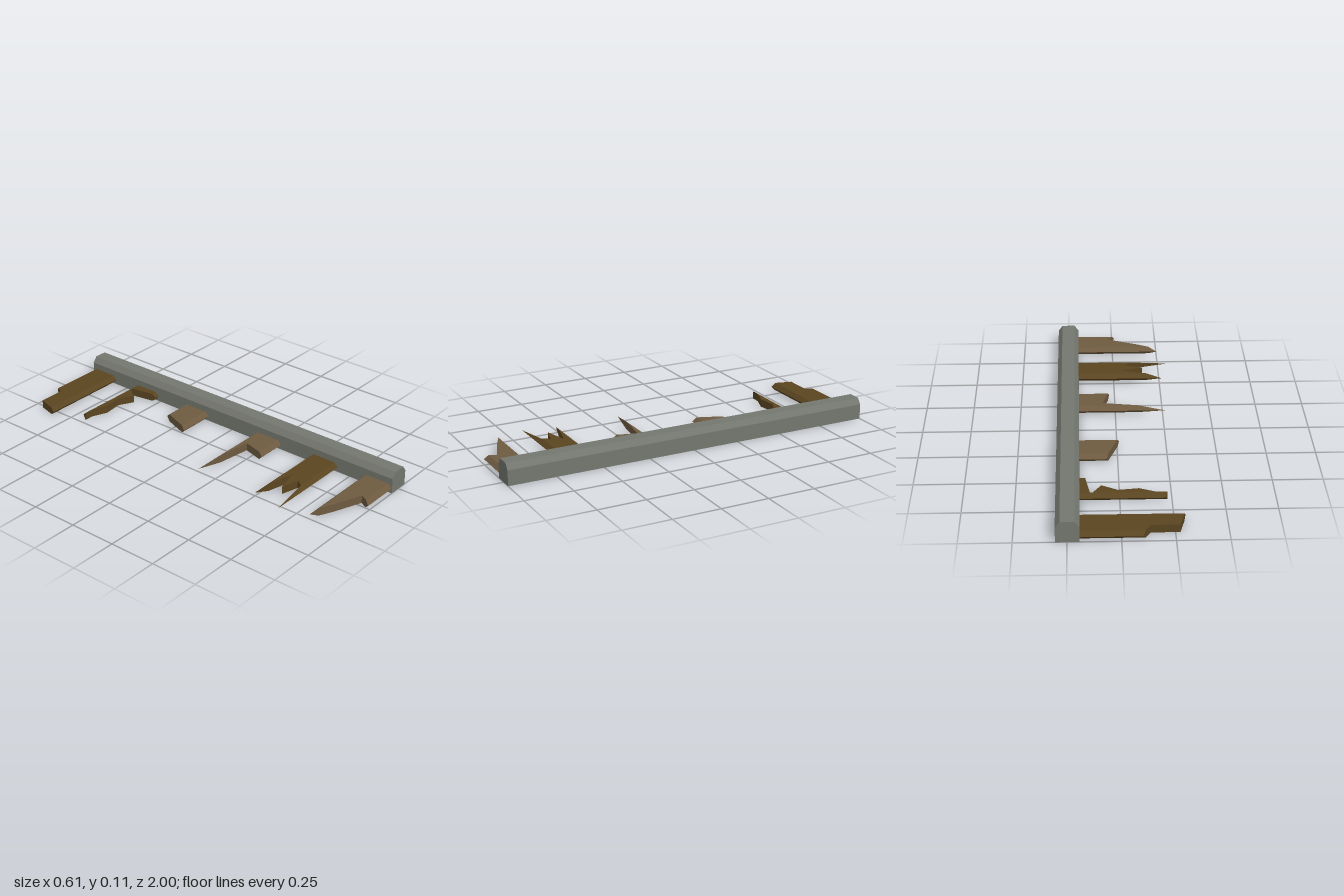
import * as THREE from 'three';

const HALF = 0.021;   // half the plank thickness, also the bevel width
const MID = 0.026;    // height of the plank's middle
const WIDTH = 0.172;  // plank width along z
const ROOT = 0.2;     // planks end just inside the beam

const mat = (color) => new THREE.MeshStandardMaterial({ color, flatShading: true, roughness: 0.9 });
const beamMat = mat(0x74776f);
const darkWood = mat(0x5a4520);
const paleWood = mat(0x6e5a40);

// Plank with bevelled long edges and a splintered end.
// end: [x, z] from the back edge (z = 0) to the front edge (z = WIDTH).
function plankGeometry(end) {
  const outline = [[ROOT, 0], ...end, [ROOT, WIDTH]];
  const edges = outline.map((p, i) => [p, outline[(i + 1) % outline.length]]);
  const half = (z) => Math.max(0, Math.min(HALF, z, WIDTH - z));
  const top = ([x, z]) => [x, MID + half(z), z];
  const low = ([x, z]) => [x, MID - half(z), z];
  const pos = [];
  const quad = (a, b, c, d) => pos.push(...a, ...b, ...c, ...a, ...c, ...d);

  // slice the outline at every corner and bevel line into trapezoids
  const levels = [...new Set([HALF, WIDTH - HALF, ...outline.map((p) => p[1])])].sort((a, b) => a - b);
  for (let i = 0; i + 1 < levels.length; i++) {
    const z0 = levels[i], z1 = levels[i + 1];
    const sides = [];
    for (const [p, q] of edges) {
      if (Math.min(p[1], q[1]) > z0 || Math.max(p[1], q[1]) < z1) continue;
      const at = (z) => [p[0] + (q[0] - p[0]) * (z - p[1]) / (q[1] - p[1]), z];
      sides.push([at(z0), at(z1)]);
    }
    sides.sort((s, t) => s[0][0] + s[1][0] - t[0][0] - t[1][0]);
    for (let k = 0; k + 1 < sides.length; k += 2) {
      const [a, d] = sides[k], [b, c] = sides[k + 1];
      quad(top(a), top(d), top(c), top(b));
      quad(low(a), low(b), low(c), low(d));
      quad(low(a), low(d), top(d), top(a));
      quad(top(b), top(c), low(c), low(b));
    }
  }
  // walls of cuts that run straight along the plank
  for (const [p, q] of edges) {
    if (p[1] === q[1] && half(p[1]) > 0) quad(low(p), low(q), top(q), top(p));
  }
  const geo = new THREE.BufferGeometry();
  geo.setAttribute('position', new THREE.Float32BufferAttribute(pos, 3));
  geo.computeVertexNormals();
  return geo;
}

export function createModel() {
  const group = new THREE.Group();

  // long beam with chamfered top edges
  const section = new THREE.Shape([
    [0.192, 0], [0.305, 0], [0.305, 0.08], [0.283, 0.11], [0.215, 0.11], [0.192, 0.08],
  ].map(([x, y]) => new THREE.Vector2(x, y)));
  const beamGeo = new THREE.ExtrudeGeometry(section, { depth: 2, bevelEnabled: false });
  beamGeo.translate(0, 0, -1);
  const beam = new THREE.Mesh(beamGeo, beamMat);
  beam.name = 'beam';
  group.add(beam);

  // broken planks: back edge z, wood, splintered end
  const planks = [
    [-1.0, darkWood, [[-0.098, 0], [-0.135, 0.06], [-0.272, 0.06], [-0.302, WIDTH]]],
    [-0.684, darkWood, [[-0.22, 0], [-0.227, 0.021], [-0.177, 0.021], [-0.093, 0.054], [0.008, 0.042],
      [0.087, 0.084], [0.13, 0.021], [0.142, 0.021], [0.167, WIDTH]]],
    [-0.33, paleWood, [[0.055, 0], [-0.01, WIDTH]]],
    [0.152, paleWood, [[-0.262, 0], [0.066, 0.048], [0.03, WIDTH]]],
    [0.507, darkWood, [[-0.262, 0], [-0.035, 0.057], [-0.16, 0.088], [-0.066, 0.114],
      [-0.093, 0.152], [-0.302, WIDTH]]],
    [0.826, paleWood, [[-0.25, 0], [-0.13, 0.056], [0.019, 0.114], [-0.013, WIDTH]]],
  ];
  planks.forEach(([z, wood, end], i) => {
    const plank = new THREE.Mesh(plankGeometry(end), wood);
    plank.position.z = z;
    plank.name = `brokenPlank${i + 1}`;
    group.add(plank);
  });
  return group;
}
